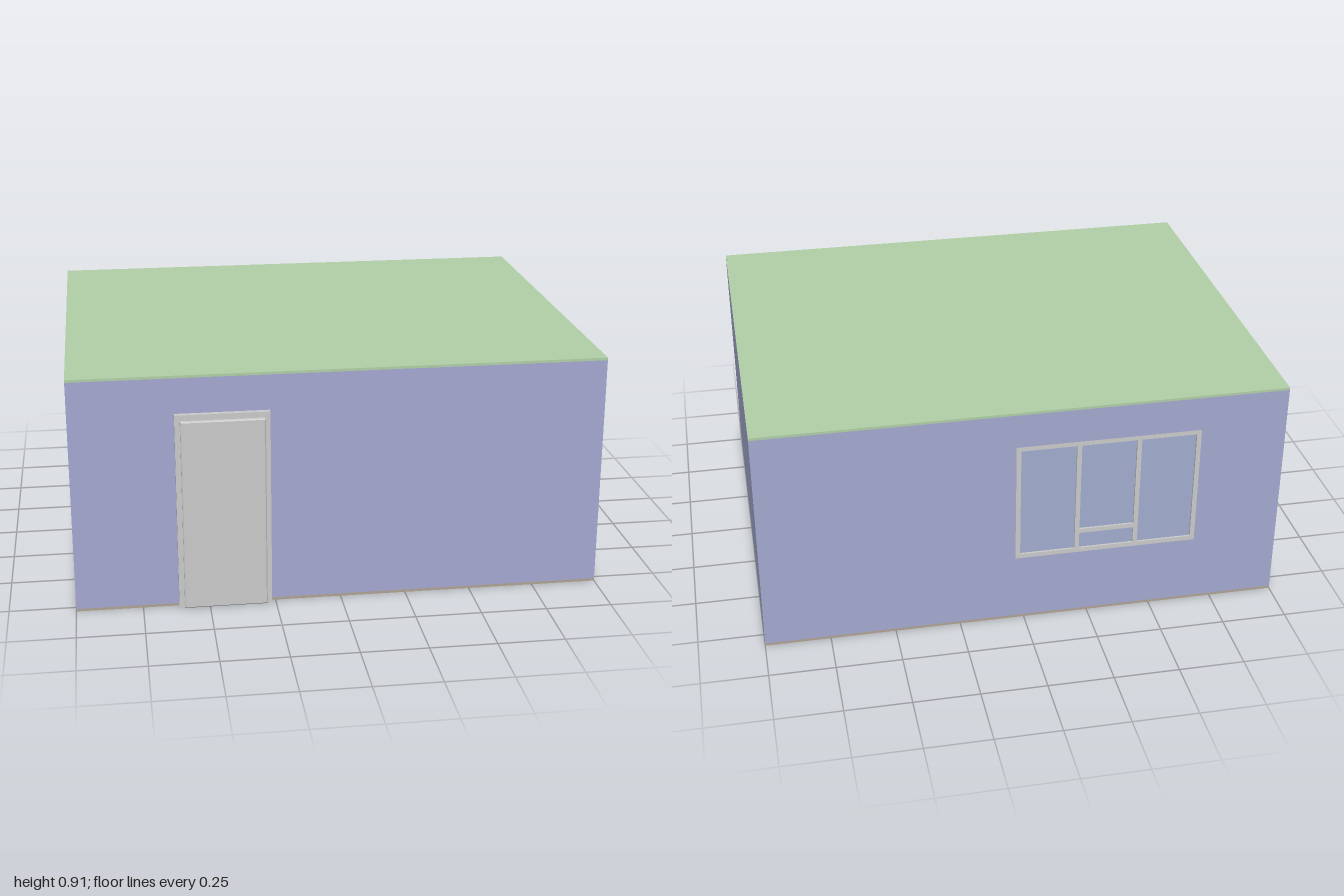
import * as THREE from 'three';

const mat = (color) => new THREE.MeshStandardMaterial({ color });

export function createModel() {
  const room = new THREE.Group();
  room.name = 'room';
  const wallMat = mat(0xa5a9d1), grey = mat(0xcccccc);

  const add = (name, geometry, material, x = 0, y = 0, z = 0) => {
    const mesh = new THREE.Mesh(geometry, material);
    mesh.name = name;
    mesh.position.set(x, y, z);
    room.add(mesh);
    return mesh;
  };
  // Box given by its two extreme corners
  const box = (name, material, x0, x1, y0, y1, z0, z1) =>
    add(name, new THREE.BoxGeometry(x1 - x0, y1 - y0, z1 - z0), material,
      (x0 + x1) / 2, (y0 + y1) / 2, (z0 + z1) / 2);
  const rect = (Type, x0, x1, y0, y1) => new Type([[x0, y0], [x1, y0], [x1, y1], [x0, y1]]
    .map(([x, y]) => new THREE.Vector2(x, y)));
  // Flat panel with rectangular openings
  const panel = (outer, holes, depth) => {
    const shape = rect(THREE.Shape, ...outer);
    shape.holes = holes.map((h) => rect(THREE.Path, ...h));
    return new THREE.ExtrudeGeometry(shape, { depth, bevelEnabled: false });
  };

  const H = 0.91, back = -0.82, front = 0.785, t = 0.03, slab = 0.01;

  // Floor and flat roof
  box('floor', mat(0xb0a493), -1, 1, 0, slab, back, front);
  box('roof', mat(0xb2d1a9), -1, 1, H - slab, H, back, front);

  // Walls, the back one with the window opening
  const win = [-0.67, 0.035, 0.275, 0.765];
  for (const s of [-1, 1]) {
    const x = s * (1 - t / 2);
    box(s > 0 ? 'leftWall' : 'rightWall', wallMat, x - t / 2, x + t / 2, slab, H - slab, back, front);
  }
  box('frontWall', wallMat, -1 + t, 1 - t, slab, H - slab, front - t, front);
  add('backWall', panel([-1 + t, 1 - t, slab, H - slab], [win], t), wallMat, 0, 0, back);

  // Window frame: three bays, the middle one split by a low transom
  const [x0, x1, y0, y1] = win, f = 0.018, bay = (x1 - x0 - f) / 3, transom = 0.37;
  const panes = [];
  for (let i = 0; i < 3; i++) {
    const a = x0 + i * bay + f, b = x0 + (i + 1) * bay;
    if (i === 1) {
      panes.push([a, b, y0 + f, transom - f / 2], [a, b, transom + f / 2, y1 - f]);
    } else {
      panes.push([a, b, y0 + f, y1 - f]);
    }
  }
  add('windowFrame', panel(win, panes, t), grey, 0, 0, back);
  box('windowGlass', mat(0xa2aed0), x0 + f / 2, x1 - f / 2, y0 + f / 2, y1 - f / 2, back + 0.008, back + 0.016);

  // Door surround, open at the bottom
  const surround = new THREE.Shape([
    [-0.615, 0], [-0.585, 0], [-0.585, 0.735], [-0.295, 0.735],
    [-0.295, 0], [-0.265, 0], [-0.265, 0.765], [-0.615, 0.765],
  ].map(([x, y]) => new THREE.Vector2(x, y)));
  add('doorFrame', new THREE.ExtrudeGeometry(surround, { depth: 0.02, bevelEnabled: false }), grey, 0, 0, front);

  // Door leaf with a fine chamfer
  const c = 0.004;
  add('door', new THREE.ExtrudeGeometry(rect(THREE.Shape, -0.595 + c, -0.283 - c, 0.003 + c, 0.743 - c), {
    depth: 0.82 - front - 2 * c, bevelThickness: c, bevelSize: c, bevelSegments: 1,
  }), grey, 0, 0, front + c);

  return room;
}
